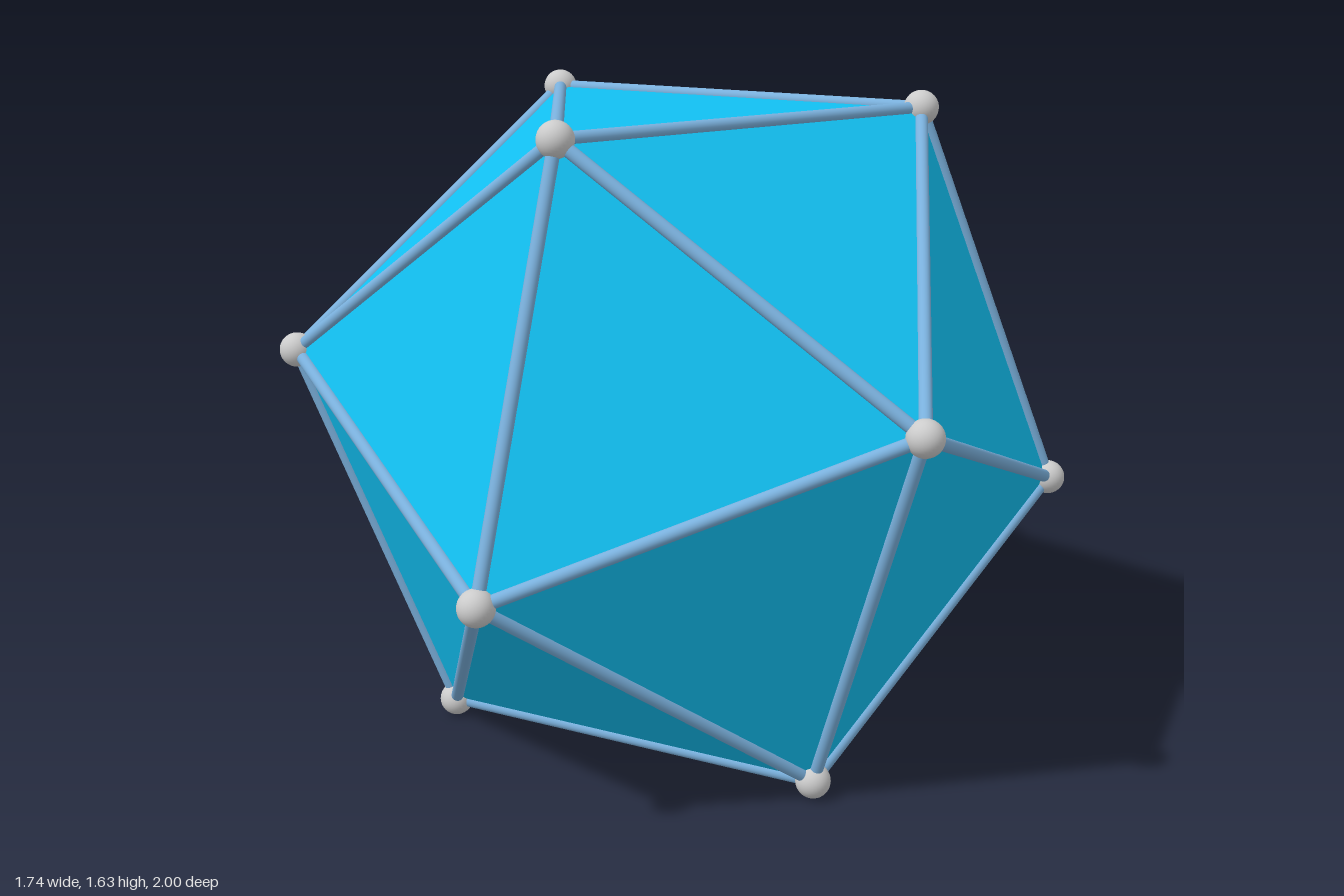
import * as THREE from 'three';
import { ConvexGeometry } from 'three/addons/geometries/ConvexGeometry.js';

const EDGE = 1.0245, BALL_R = 0.043, ROD_R = 0.016;

// Four triangular rings of corners of an icosahedron resting on a face
function corners() {
  const phi = (1 + Math.sqrt(5)) / 2;
  const small = EDGE / Math.sqrt(3), large = small * phi;
  const inner = EDGE * phi * phi / (2 * Math.sqrt(3));
  const mid = Math.sqrt(small * small + inner * inner - large * large);
  const centreY = inner + BALL_R;
  const rings = [[small, inner, 0], [large, mid, Math.PI], [large, -mid, 0], [small, -inner, Math.PI]];
  const points = [];
  for (const [radius, height, turn] of rings) {
    for (let i = 0; i < 3; i++) {
      const a = turn + i * Math.PI * 2 / 3;
      points.push(new THREE.Vector3(radius * Math.sin(a), centreY + height, radius * Math.cos(a)));
    }
  }
  return points;
}

export function createModel() {
  const model = new THREE.Group();
  const points = corners();
  const panelMat = new THREE.MeshStandardMaterial({ color: 0x12c0f2, flatShading: true });
  const rodMat = new THREE.MeshStandardMaterial({ color: 0x7ab0dc });
  const ballMat = new THREE.MeshStandardMaterial({ color: 0xcccccc });

  // Flat triangular panels
  const panels = new THREE.Mesh(new ConvexGeometry(points), panelMat);
  panels.name = 'panels';
  model.add(panels);

  // Balls at the corners
  const balls = new THREE.Group();
  balls.name = 'cornerBalls';
  const ballGeo = new THREE.SphereGeometry(BALL_R, 32, 20);
  for (const p of points) {
    const ball = new THREE.Mesh(ballGeo, ballMat);
    ball.name = 'cornerBall';
    ball.position.copy(p);
    balls.add(ball);
  }
  model.add(balls);

  // Rods between neighbouring corners
  const rods = new THREE.Group();
  rods.name = 'edgeRods';
  const rodGeo = new THREE.CylinderGeometry(ROD_R, ROD_R, EDGE, 24, 1, true);
  const up = new THREE.Vector3(0, 1, 0);
  points.forEach((a, i) => {
    for (const b of points.slice(i + 1)) {
      if (a.distanceTo(b) > EDGE * 1.1) continue;
      const rod = new THREE.Mesh(rodGeo, rodMat);
      rod.name = 'edgeRod';
      rod.position.lerpVectors(a, b, 0.5);
      rod.quaternion.setFromUnitVectors(up, b.clone().sub(a).normalize());
      rods.add(rod);
    }
  });
  model.add(rods);

  return model;
}
